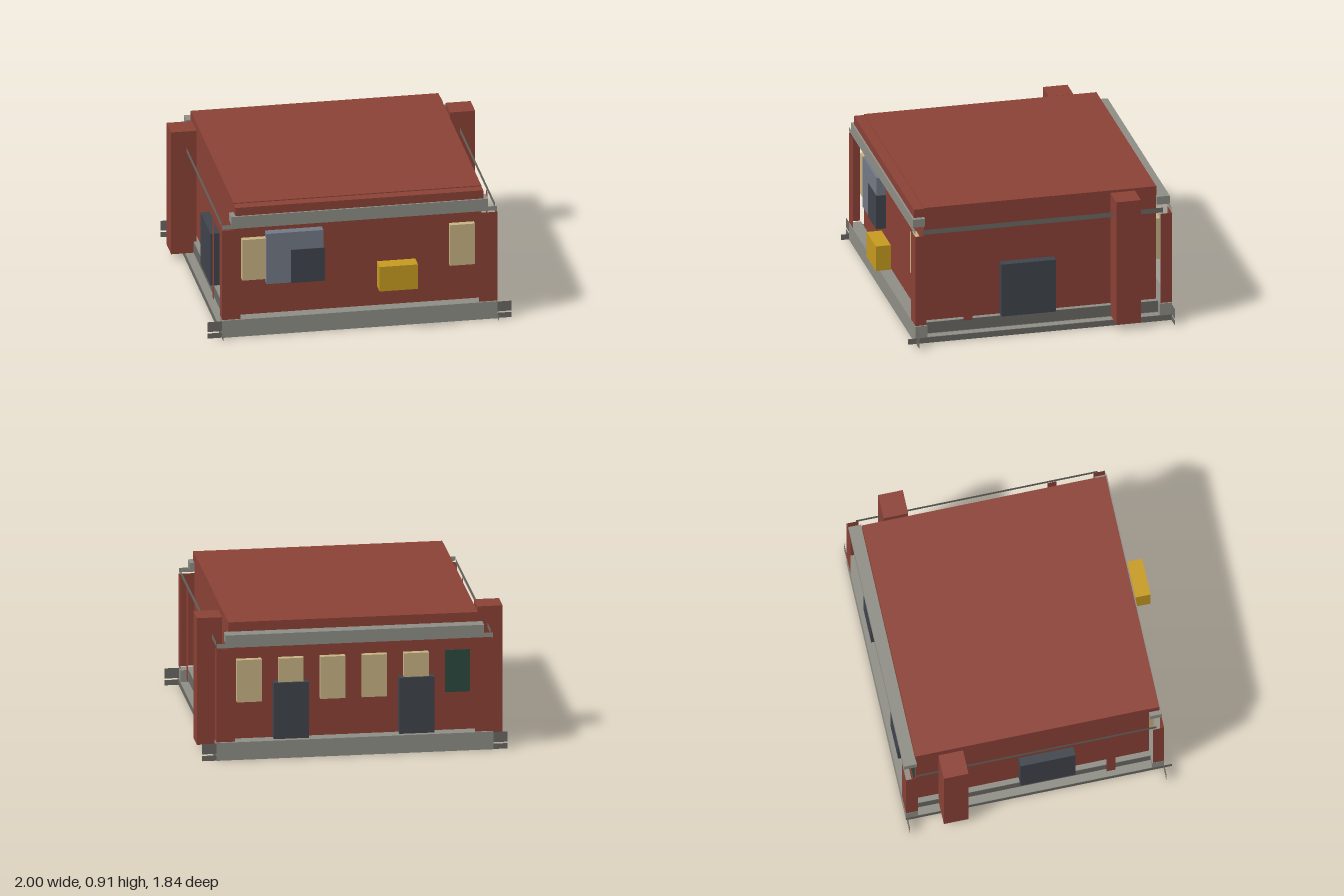
import * as THREE from 'three';

const mat = (name, color, side = THREE.FrontSide) => {
  const m = new THREE.MeshStandardMaterial({ color, side });
  m.name = name;
  return m;
};

export function createModel() {
  const model = new THREE.Group();
  model.name = 'brickBuilding';

  const brick = mat('brick red', 0x8b4236, THREE.DoubleSide);
  const stone = mat('light stone', 0x8f8f87);
  const darkStone = mat('dark stone', 0x6b6a64, THREE.DoubleSide);
  const cream = mat('cream window', 0xc8b484);
  const slate = mat('slate door', 0x40444c);
  const blueGrey = mat('blue grey', 0x737a87);
  const yellow = mat('yellow', 0xc79b20);
  const green = mat('dark green', 0x2c4a40);

  // Box given by its limits on each axis
  function box(name, material, x0, x1, y0, y1, z0, z1) {
    const mesh = new THREE.Mesh(new THREE.BoxGeometry(x1 - x0, y1 - y0, z1 - z0), material);
    mesh.position.set((x0 + x1) / 2, (y0 + y1) / 2, (z0 + z1) / 2);
    mesh.name = name;
    model.add(mesh);
    return mesh;
  }
  // Upright sheet facing +z or -z
  function sheetZ(name, material, x0, x1, y0, y1, z) {
    const mesh = new THREE.Mesh(new THREE.PlaneGeometry(x1 - x0, y1 - y0), material);
    mesh.position.set((x0 + x1) / 2, (y0 + y1) / 2, z);
    if (z < 0) mesh.rotation.y = Math.PI;
    mesh.name = name;
    model.add(mesh);
  }
  // Upright sheet facing +x or -x
  function sheetX(name, material, x, y0, y1, z0, z1) {
    const mesh = new THREE.Mesh(new THREE.PlaneGeometry(z1 - z0, y1 - y0), material);
    mesh.position.set(x, (y0 + y1) / 2, (z0 + z1) / 2);
    mesh.rotation.y = Math.sign(x) * Math.PI / 2;
    mesh.name = name;
    model.add(mesh);
  }

  // Stepped plinth
  box('lowerPlinth', stone, -0.905, 0.905, 0, 0.04, -0.84, 0.71);
  box('upperPlinth', stone, -0.85, 0.85, 0.04, 0.12, -0.84, 0.71);
  box('frontPlinth', stone, -0.905, 0.905, 0, 0.12, 0.71, 0.79);
  box('backPlinth', stone, -0.905, 0.905, 0, 0.12, -0.92, -0.84);

  // Walls and roof
  box('walls', brick, -0.815, 0.815, 0.12, 0.845, -0.835, 0.71);
  box('roof', brick, -0.815, 0.815, 0.845, 0.908, -0.838, 0.71);
  box('roofFrontLip', brick, -0.815, 0.815, 0.845, 0.902, 0.71, 0.778);

  // Front and back cornices
  box('frontCornice', stone, -0.845, 0.845, 0.79, 0.845, 0.71, 0.79);
  box('backCornice', stone, -0.845, 0.845, 0.79, 0.845, -0.92, -0.835);
  const stoneSheet = mat('light stone sheet', 0x8f8f87, THREE.DoubleSide);
  for (const z of [0.788, -0.918]) {
    sheetZ('corniceFillet', stoneSheet, -0.905, 0.905, 0.76, 0.79, z);
  }

  for (const s of [1, -1]) {
    const [a, b] = s > 0 ? [0.785, 0.905] : [-0.905, -0.785];
    const [c, d] = s > 0 ? [0.905, 1] : [-1, -0.905];

    // Corner pilasters
    for (const z of [0.79, -0.92]) sheetZ('cornerPilaster', brick, a, b, 0.125, 0.75, z);
    sheetX('frontCornerReturn', brick, s * 0.905, 0.125, 0.75, 0.715, 0.79);
    sheetX('backCornerReturn', brick, s * 0.905, 0.125, 0.75, -0.92, -0.842);
    sheetX('sidePilaster', brick, s * 0.9, 0.13, 0.75, 0.41, 0.47);

    // Side trims and their projecting ends
    sheetX('sideCornice', darkStone, s * 0.9, 0.757, 0.79, -0.86, 0.74);
    sheetX('lowerSideTrim', darkStone, s * 0.907, 0, 0.038, -0.92, 0.84);
    sheetX('upperSideTrim', darkStone, s * 0.853, 0.045, 0.12, -0.92, 0.788);
    for (const z of [0.785, -0.915]) {
      sheetZ('lowerTrimEnd', darkStone, c, d, 0, 0.036, z);
      sheetZ('upperTrimEnd', darkStone, c, d, 0.046, 0.115, z);
    }

    // Side doors and chimneys
    const [e, f] = s > 0 ? [0.815, 0.875] : [-0.875, -0.815];
    box('sideDoor', slate, e, f, 0.121, 0.485, -0.155, 0.208);
    const [g, h] = s > 0 ? [0.835, 1] : [-1, -0.835];
    box('chimney', brick, g, h, 0.043, 0.9, -0.69, -0.527);
  }

  // Front windows, block and sign
  for (const x of [-0.683, 0.683]) {
    box('frontWindow', cream, x - 0.082, x + 0.082, 0.375, 0.66, 0.71, 0.75);
  }
  box('frontBlock', blueGrey, -0.61, -0.235, 0.347, 0.7, 0.71, 0.77);
  box('frontBlockPanel', slate, -0.45, -0.225, 0.345, 0.577, 0.71, 0.775);
  box('hangingBox', yellow, 0.107, 0.36, 0.303, 0.475, 0.82, 0.92);

  // Back windows, doors and panel
  for (let i = 0; i < 5; i++) {
    const x = 0.683 - i * 0.273;
    box('backWindow', cream, x - 0.082, x + 0.082, 0.375, 0.66, -0.875, -0.835);
  }
  for (const x of [0.41, -0.41]) {
    box('backDoor', slate, x - 0.115, x + 0.115, 0.121, 0.5, -0.89, -0.835);
  }
  box('backPanel', green, -0.765, -0.6, 0.375, 0.66, -0.841, -0.835);

  return model;
}
